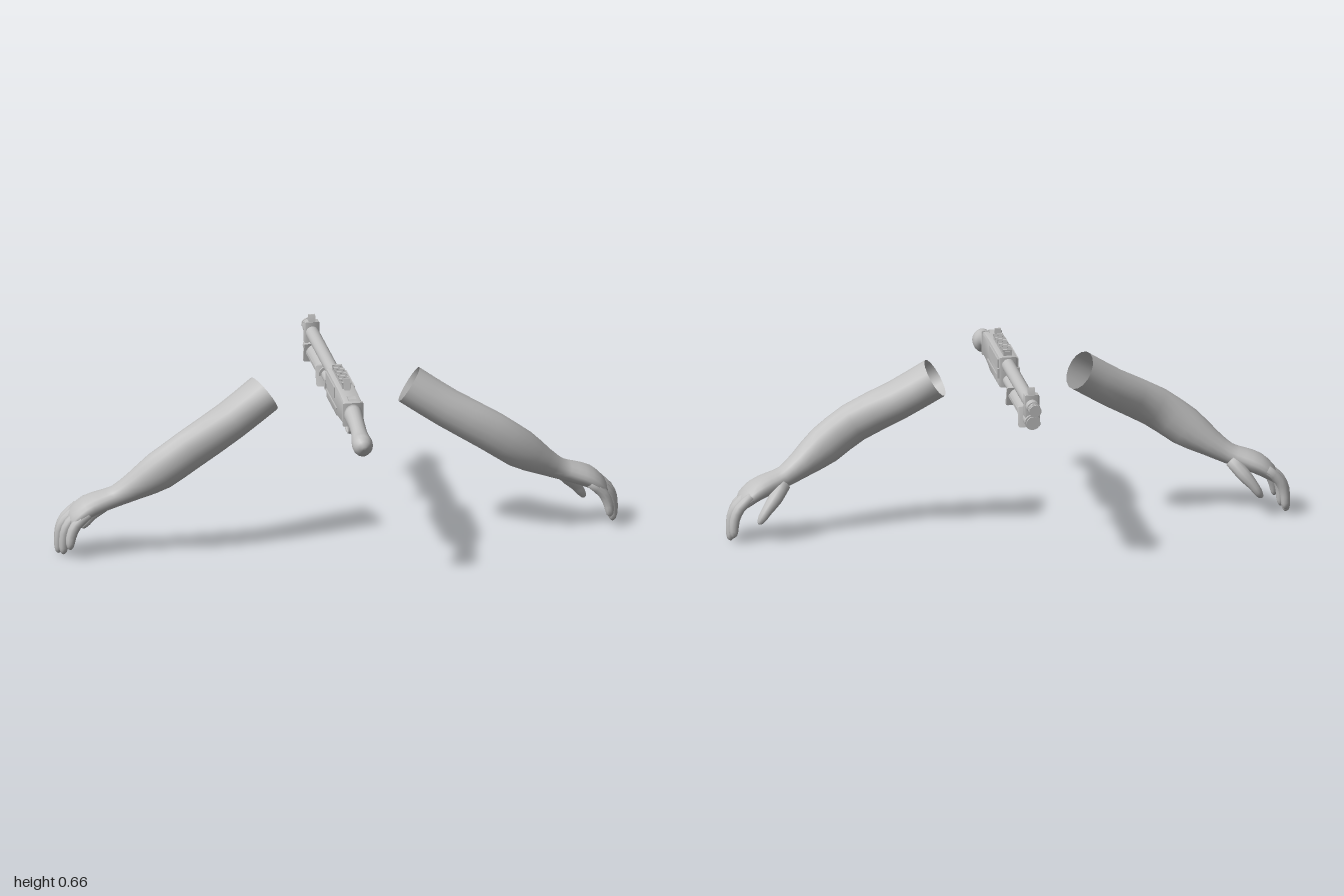
import * as THREE from 'three';
import { toCreasedNormals } from 'three/addons/utils/BufferGeometryUtils.js';

const gray = new THREE.MeshStandardMaterial({ color: 0xc0c0c0, side: THREE.DoubleSide });
gray.name = 'plain gray';

function add(parent, name, geo, x = 0, y = 0, z = 0) {
  const mesh = new THREE.Mesh(geo, gray);
  mesh.name = name;
  mesh.position.set(x, y, z);
  parent.add(mesh);
  return mesh;
}

// Elliptical loft through sections [x, y, z, halfWidth along hint, halfHeight]
function loft(sections, hint, { sides = 14, steps = 2, capStart = true, capEnd = true, mirror = false } = {}) {
  const centres = new THREE.CatmullRomCurve3(sections.map(s => new THREE.Vector3(s[0], s[1], s[2])));
  const sizes = new THREE.CatmullRomCurve3(sections.map(s => new THREE.Vector3(s[3], s[4], 0)));
  const n = (sections.length - 1) * steps;
  const pos = [], index = [];
  for (let i = 0; i <= n; i++) {
    const c = centres.getPoint(i / n), r = sizes.getPoint(i / n), t = centres.getTangent(i / n);
    const u = hint.clone().addScaledVector(t, -hint.dot(t)).normalize();
    const v = t.clone().cross(u);
    for (let j = 0; j < sides; j++) {
      const a = (j / sides) * Math.PI * 2;
      const p = c.clone().addScaledVector(u, r.x * Math.cos(a)).addScaledVector(v, r.y * Math.sin(a));
      pos.push(mirror ? -p.x : p.x, p.y, p.z);
    }
  }
  const face = (a, b, c) => mirror ? index.push(a, c, b) : index.push(a, b, c);
  for (let i = 0; i < n; i++) for (let j = 0; j < sides; j++) {
    const a = i * sides + j, b = i * sides + (j + 1) % sides;
    face(a, b, a + sides);
    face(b, b + sides, a + sides);
  }
  const cap = (row, flip) => {
    const p = centres.getPoint(row / n), k = pos.length / 3;
    pos.push(mirror ? -p.x : p.x, p.y, p.z);
    for (let j = 0; j < sides; j++) {
      const a = row * sides + j, b = row * sides + (j + 1) % sides;
      flip ? face(k, b, a) : face(k, a, b);
    }
  };
  if (capStart) cap(0, true);
  if (capEnd) cap(n, false);
  const geo = new THREE.BufferGeometry();
  geo.setAttribute('position', new THREE.Float32BufferAttribute(pos, 3));
  geo.setIndex(index);
  geo.computeVertexNormals();
  return geo;
}

// Side outline given as [z, y], extruded across x
function plate(outline, halfWidth, bevel = 0) {
  const shape = new THREE.Shape(outline.map(([z, y]) => new THREE.Vector2(-z, y)));
  const depth = 2 * (halfWidth - bevel);
  const geo = new THREE.ExtrudeGeometry(shape, {
    depth, bevelEnabled: bevel > 0, bevelSize: bevel, bevelOffset: -bevel, bevelThickness: bevel, bevelSegments: 2,
  });
  geo.translate(0, 0, -depth / 2).rotateY(Math.PI / 2);
  return toCreasedNormals(geo, 0.6);
}

const box = (w, h, d) => new THREE.BoxGeometry(w, h, d);

// Round part along z between two z positions
function rod(parent, name, radius, y, z0, z1, sides = 20) {
  const geo = new THREE.CylinderGeometry(radius, radius, Math.abs(z1 - z0), sides).rotateX(Math.PI / 2);
  return add(parent, name, geo, 0, y, (z0 + z1) / 2);
}

function createArm(mirror) {
  const arm = new THREE.Group();
  arm.name = mirror ? 'rightArm' : 'leftArm';
  const hint = new THREE.Vector3(0, 0, 1);

  // Sleeve-like arm, open at the shoulder end, running into the palm
  add(arm, 'armAndPalm', loft([
    [.257, .553, .015, .083, .070], [.385, .470, .047, .075, .070], [.535, .385, .080, .058, .073],
    [.640, .310, .072, .058, .071], [.725, .252, .052, .051, .050], [.790, .213, .037, .045, .037],
    [.840, .195, .030, .055, .037], [.890, .175, .024, .067, .036], [.930, .145, .021, .066, .028],
    [.948, .122, .021, .056, .016],
  ], hint, { sides: 16, capStart: false, mirror }));

  // Fingers: z at knuckle, z at tip, height of tip, x of tip
  const fingers = [
    ['littleFinger', .072, .078, .038, .955], ['ringFinger', .040, .040, .010, .972],
    ['middleFinger', .006, .000, .002, .982], ['indexFinger', -.028, -.034, .020, .976],
  ];
  for (const [name, z0, z1, y, x] of fingers) {
    add(arm, name, loft([
      [x - .062, .165, z0, .018, .018], [x - .018, .125, z0, .020, .019],
      [x, .085, (z0 + z1) / 2, .018, .018], [x + .004, y + .025, z1, .017, .016],
      [x + .004, y + .007, z1, .012, .011], [x + .003, y, z1, .003, .003],
    ], hint, { sides: 10, mirror }));
  }
  add(arm, 'thumb', loft([
    [.795, .195, .005, .024, .024], [.830, .155, -.025, .026, .025], [.862, .118, -.042, .020, .019],
    [.880, .092, -.047, .018, .016], [.891, .074, -.048, .010, .009], [.893, .070, -.048, .003, .003],
  ], hint, { sides: 10, mirror }));
  return arm;
}

function createGun() {
  const gun = new THREE.Group();
  gun.name = 'shotgun';

  // Rounded grip: z, top, bottom, half width
  const grip = [
    [.558, .528, .514, .008], [.549, .546, .498, .024], [.530, .560, .483, .035], [.508, .563, .481, .036],
    [.485, .563, .496, .033], [.455, .570, .514, .028], [.410, .586, .526, .028], [.365, .601, .531, .031], [.325, .610, .533, .033],
  ];
  add(gun, 'grip', loft(grip.map(([z, top, low, w]) => [0, (top + low) / 2, z, w, (top - low) / 2]),
    new THREE.Vector3(1, 0, 0), { sides: 18 }));

  // Receiver and its side details
  add(gun, 'receiver', plate([
    [.335, .530], [.335, .612], [.30, .618], [.215, .622], [-.01, .622], [-.01, .512], [.18, .512], [.22, .520], [.29, .527],
  ], .034, .010));
  add(gun, 'receiverCollar', plate([[.337, .527], [.337, .613], [.326, .616], [.326, .527]], .037, .006));
  add(gun, 'rearTang', plate([[.33, .61], [.32, .622], [.30, .626], [.28, .618]], .014));
  for (const side of [-1, 1]) {
    add(gun, 'sidePort', box(.006, .040, .17), side * .0345, .594, .083);
    add(gun, 'sideRib', box(.006, .006, .22), side * .0345, .549, .10);
    add(gun, 'receiverFrontLug', box(.008, .035, .014), side * .036, .565, -.004);
  }
  add(gun, 'loadingPlate', box(.034, .008, .13), 0, .511, .115);

  // Toothed top rail and rear sight
  add(gun, 'railBase', box(.030, .016, .20), 0, .628, .11);
  for (let i = 0; i < 14; i++) add(gun, 'railTooth', box(.034, .008, .008), 0, .639, .017 + i * .0143);
  add(gun, 'rearSight', plate([[.228, .618], [.214, .661], [.205, .661], [.198, .620]], .011));

  // Trigger guard and trigger
  const guard = new THREE.CatmullRomCurve3([
    [.315, .527], [.296, .510], [.285, .488], [.258, .479], [.226, .483], [.207, .500], [.197, .516],
  ].map(([z, y]) => new THREE.Vector3(0, y, z)));
  add(gun, 'triggerGuard', new THREE.TubeGeometry(guard, 24, .0055, 8).scale(1.7, 1, 1));
  add(gun, 'guardPlate', plate([[.33, .534], [.19, .52], [.19, .508], [.24, .511], [.30, .52]], .016));
  add(gun, 'trigger', plate([[.262, .518], [.255, .502], [.261, .487], [.254, .488], [.246, .502], [.248, .518]], .005));

  // Barrel with ringed muzzle
  rod(gun, 'barrel', .0235, .593, .0, -.523);
  rod(gun, 'muzzleNeck', .018, .593, -.52, -.557);
  for (const z of [-.531, -.542, -.553]) rod(gun, 'muzzleRing', .0215, .593, z + .004, z - .004);

  // Magazine tube, sliding fore-end and end cap
  rod(gun, 'magazineTube', .020, .537, .0, -.46);
  rod(gun, 'foreEnd', .029, .538, -.175, -.425);
  rod(gun, 'magazineCap', .027, .535, -.45, -.500);
  rod(gun, 'magazineCapTip', .022, .535, -.50, -.508);
  for (const side of [-1, 1]) add(gun, 'foreEndRib', box(.008, .012, .22), side * .027, .540, -.30);

  // Curved flanges at both ends of the fore-end, leaning towards the muzzle or back
  for (const [z, lean] of [[-.183, .010], [-.425, -.010]]) {
    add(gun, 'foreEndFlange', plate([
      [z + .008 - lean, .570], [z - .006 - lean, .570], [z - .006, .535], [z - .004 + lean, .500],
      [z + .012 + lean, .500], [z + .008, .535],
    ], .039, .006));
  }

  // Front sight and the clamp joining the barrel and magazine
  add(gun, 'barrelClamp', plate([[-.458, .55], [-.458, .632], [-.490, .632], [-.490, .55]], .026, .005));
  add(gun, 'frontSight', plate([[-.460, .625], [-.465, .645], [-.470, .656], [-.478, .656], [-.483, .645], [-.488, .625]], .012));
  return gun;
}

export function createModel() {
  const model = new THREE.Group();
  model.name = 'armsAndShotgun';
  model.add(createGun(), createArm(false), createArm(true));
  return model;
}
